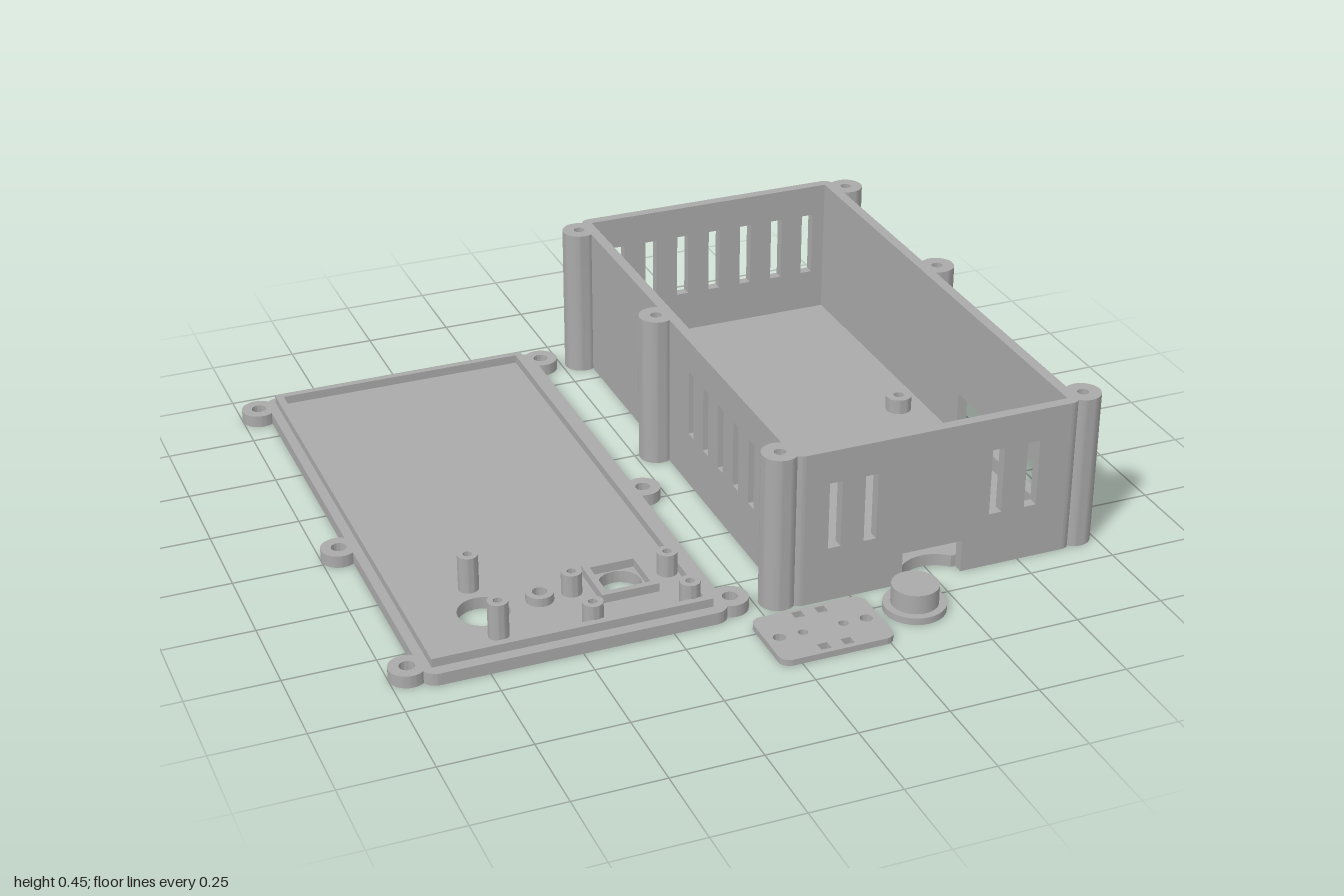
import * as THREE from 'three';
import { toCreasedNormals } from 'three/addons/utils/BufferGeometryUtils.js';

export function createModel() {
  const root = new THREE.Group();
  const grey = new THREE.MeshStandardMaterial({ color: 0xaaaaaa });
  grey.name = 'plastic grey';

  function group(name) {
    const g = new THREE.Group();
    g.name = name;
    root.add(g);
    return g;
  }
  function add(parent, name, geo) {
    const m = new THREE.Mesh(toCreasedNormals(geo, 0.6), grey);
    m.name = name;
    parent.add(m);
    return m;
  }

  // Outlines
  const trace = (s, pts) => { pts.forEach(([x, y], i) => (i ? s.lineTo(x, y) : s.moveTo(x, y))); s.closePath(); return s; };
  const corners = (x0, y0, x1, y1) => [[x0, y0], [x1, y0], [x1, y1], [x0, y1]];
  const rect = (...c) => trace(new THREE.Shape(), corners(...c));
  const rectHole = (...c) => trace(new THREE.Path(), corners(...c));
  const squareHole = (x, y, h) => rectHole(x - h, y - h, x + h, y + h);
  const disc = (x, y, r) => new THREE.Shape().absarc(x, y, r, 0, Math.PI * 2);
  const roundHole = (x, y, r) => new THREE.Path().absarc(x, y, r, 0, Math.PI * 2);
  function roundRect(x0, y0, x1, y1, r) {
    return new THREE.Shape()
      .absarc(x1 - r, y1 - r, r, 0, Math.PI / 2)
      .absarc(x0 + r, y1 - r, r, Math.PI / 2, Math.PI)
      .absarc(x0 + r, y0 + r, r, Math.PI, Math.PI * 1.5)
      .absarc(x1 - r, y0 + r, r, Math.PI * 1.5, Math.PI * 2);
  }

  // Horizontal plate drawn in x and z, from height y0 to y1
  function slab(parent, name, shape, holes, y0, y1) {
    shape.holes.push(...holes);
    const geo = new THREE.ExtrudeGeometry(shape, { depth: y1 - y0, bevelEnabled: false, curveSegments: 24 });
    return add(parent, name, geo.rotateX(Math.PI / 2).translate(0, y1, 0));
  }
  // Round post with a blind screw hole
  function post(parent, name, x, z, R, r, y0, y1, yHole) {
    const pts = [[0, y0], [R, y0], [R, y1], [r, y1], [r, yHole], [0, yHole]];
    const geo = new THREE.LatheGeometry(pts.map(p => new THREE.Vector2(...p)), 32);
    add(parent, name, geo).position.set(x, 0, z);
  }

  // Case
  const box = group('case');
  const X0 = 0.083, X1 = 0.917, Z0 = -0.92, Z1 = 0.67, H = 0.45, T = 0.03, FLOOR = 0.035;
  const slot = u => rectHole(u - 0.018, 0.16, u + 0.018, 0.355);
  const row = (start, step, n) => Array.from({ length: n }, (_, i) => slot(start + i * step));
  function wall(name, shape, holes) {
    shape.holes.push(...holes);
    return add(box, name, new THREE.ExtrudeGeometry(shape, { depth: T, bevelEnabled: false }));
  }
  const a = X0 + T, b = X1 - T, c = Z0 + T, d = Z1 - T;

  const frontOutline = trace(new THREE.Shape(), [
    [a, 0], [0.402, 0], [0.402, 0.095], [0.578, 0.095], [0.578, 0], [b, 0], [b, H], [a, H]]);
  wall('frontWall', frontOutline, [0.2, 0.303, 0.673, 0.778].map(slot)).position.z = d;
  wall('backWall', rect(a, 0, b, H), row(0.2, 0.105, 7)).position.z = Z0;

  const ports = [[0.396, 0.072, 0.572, 0.176], [0.213, 0.08, 0.37, 0.172], [0.043, 0.08, 0.2, 0.172]];
  const rightWall = wall('portWall', rect(c, 0, d, H), ports.map(p => rectHole(...p)));
  rightWall.rotation.y = -Math.PI / 2;
  rightWall.position.x = X1;
  const leftWall = wall('ventWall', rect(c, 0, d, H), row(-0.028, 0.105, 6));
  leftWall.rotation.y = -Math.PI / 2;
  leftWall.position.x = a;

  // Rounded wall corners
  [[b, d], [b, c], [a, c], [a, d]].forEach(([x, z], i) => {
    const geo = new THREE.CylinderGeometry(T, T, H, 8, 1, false, i * Math.PI / 2, Math.PI / 2);
    add(box, 'wallCorner', geo).position.set(x, H / 2, z);
  });

  // Floor with a curved card notch at the front edge
  const bite = Math.asin(0.074 / 0.104);
  const floorShape = new THREE.Shape();
  floorShape.moveTo(a, c);
  floorShape.lineTo(b, c);
  floorShape.lineTo(b, d);
  floorShape.absarc(0.49, d + 0.073, 0.104, -Math.PI / 2 + bite, -Math.PI / 2 - bite, true);
  floorShape.lineTo(a, d);
  floorShape.closePath();
  slab(box, 'caseFloor', floorShape, [], 0, FLOOR);

  for (const z of [-0.857, -0.233, 0.623])
    for (const x of [0.06, 0.944]) post(box, 'screwColumn', x, z, 0.05, 0.016, 0, H, 0.2);
  for (const z of [-0.17, 0.58])
    for (const x of [0.175, 0.805]) post(box, 'boardStandoff', x, z, 0.038, 0.015, FLOOR - 0.005, 0.08, FLOOR);

  // Lid, lying upside down
  const lid = group('lid');
  slab(lid, 'lidPlate', roundRect(-0.922, -0.92, -0.088, 0.67, 0.04),
    [roundHole(-0.69, 0.435, 0.07), roundHole(-0.31, 0.435, 0.058), roundHole(-0.535, 0.435, 0.012)], 0, 0.035);
  slab(lid, 'lidRim', rect(-0.895, -0.89, -0.127, 0.637),
    [rectHole(-0.873, -0.872, -0.147, 0.617)], 0.034, 0.06);
  for (const z of [-0.873, -0.018, 0.605])
    for (const x of [-0.95, -0.067]) slab(lid, 'lidEar', disc(x, z, 0.05), [roundHole(x, z, 0.021)], 0, 0.035);
  for (const z of [0.312, 0.557]) post(lid, 'tallStandoff', -0.69, z, 0.028, 0.012, 0.03, 0.14, 0.036);
  for (const z of [0.432, 0.592])
    for (const x of [-0.445, -0.175]) post(lid, 'shortStandoff', x, z, 0.028, 0.012, 0.03, 0.1, 0.036);
  slab(lid, 'sensorRing', disc(-0.535, 0.435, 0.038), [roundHole(-0.535, 0.435, 0.02)], 0.034, 0.06);
  slab(lid, 'buttonFrame', rect(-0.39, 0.355, -0.23, 0.515), [squareHole(-0.31, 0.435, 0.062)], 0.034, 0.06);

  // Small drilled bracket plate
  const square = [0.073, 0.139].flatMap(x => [squareHole(x, 0.73, 0.014), squareHole(x, 0.892, 0.014)]);
  const round = [[-0.017, 0.017], [0.05, 0.013], [0.165, 0.013], [0.23, 0.017]].map(([x, r]) => roundHole(x, 0.812, r));
  slab(group('bracket'), 'bracketPlate', roundRect(-0.055, 0.705, 0.267, 0.92, 0.03), [...square, ...round], 0, 0.018);

  // Push button with a recess underneath
  const button = group('button');
  const kx = 0.382, kz = 0.788;
  slab(button, 'buttonFlange', disc(kx, kz, 0.085), [squareHole(kx, kz, 0.022)], 0, 0.02);
  slab(button, 'buttonCap', disc(kx, kz, 0.064), [], 0.019, 0.075);

  return root;
}
